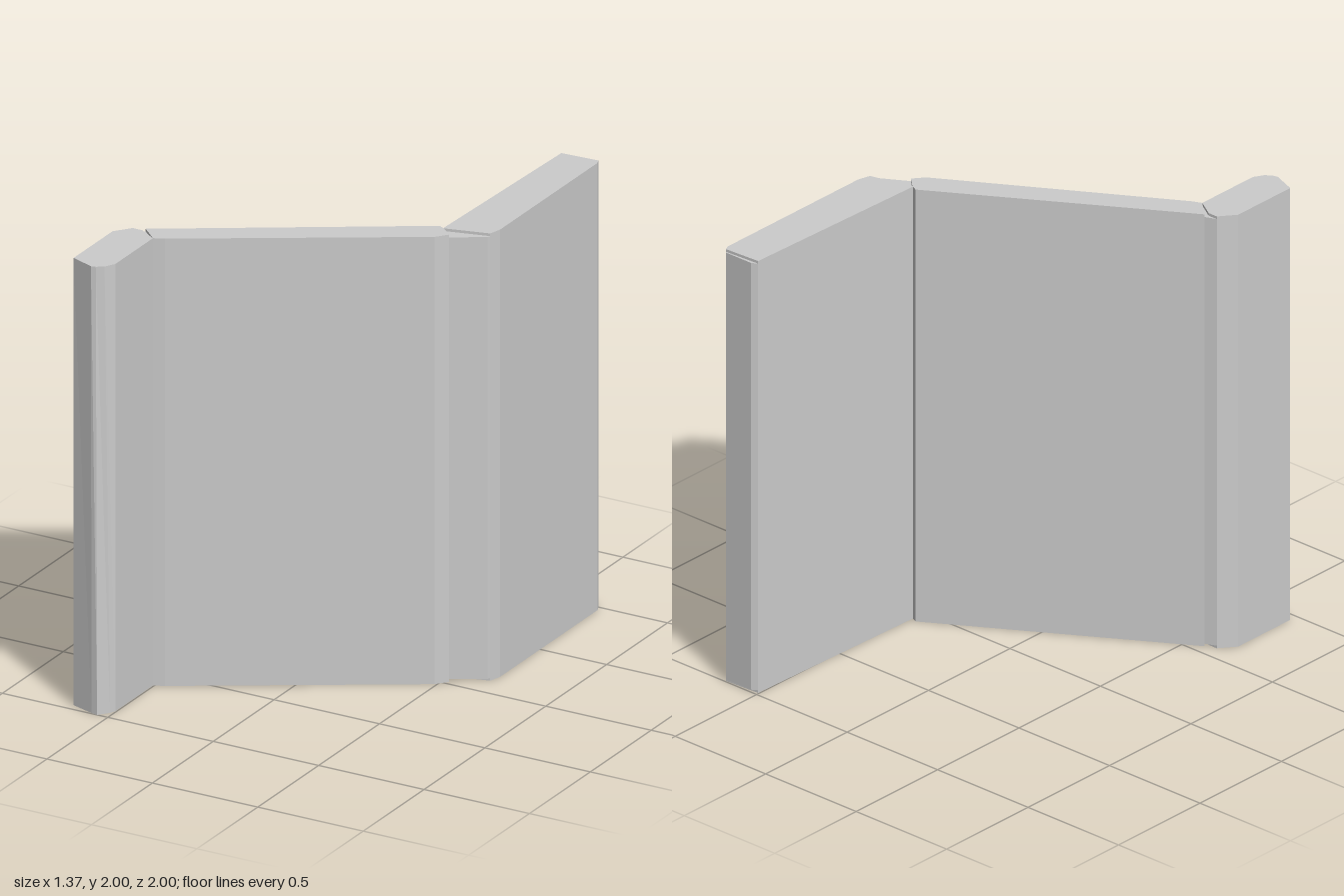
import * as THREE from 'three';

// Upright convex prism between a bottom and a top outline of [x, z] points,
// listed clockwise as seen from above with z pointing down the page.
function prism(name, bottom, top = bottom, y0 = 0, y1 = 2) {
  const n = bottom.length;
  const lo = bottom.map(([x, z]) => [x, y0, z]);
  const hi = top.map(([x, z]) => [x, y1, z]);
  const pos = [];
  const tri = (a, b, c) => pos.push(...a, ...b, ...c);
  for (let i = 0; i < n; i++) {
    const j = (i + 1) % n;
    tri(lo[i], hi[i], hi[j]);
    tri(lo[i], hi[j], lo[j]);
    if (i > 0 && i < n - 1) {
      tri(hi[0], hi[j], hi[i]);
      tri(lo[0], lo[i], lo[j]);
    }
  }
  const geo = new THREE.BufferGeometry();
  geo.setAttribute('position', new THREE.Float32BufferAttribute(pos, 3));
  geo.computeVertexNormals();
  const mat = new THREE.MeshStandardMaterial({ color: 0xcccccc, flatShading: true });
  const mesh = new THREE.Mesh(geo, mat);
  mesh.name = name;
  return mesh;
}

export function createModel() {
  const group = new THREE.Group();
  group.name = 'foldedWall';

  // Short front wall with chamfered corners, its ends shifting slightly with height
  group.add(prism('frontWall',
    [[-0.63, 0.57], [-0.585, 0.57], [-0.505, 0.62], [-0.505, 0.93], [-0.515, 0.955], [-0.55, 1], [-0.58, 0.995], [-0.685, 0.96], [-0.685, 0.64]],
    [[-0.63, 0.57], [-0.585, 0.57], [-0.505, 0.62], [-0.505, 0.93], [-0.53, 0.975], [-0.56, 0.995], [-0.58, 1], [-0.685, 0.96], [-0.685, 0.64]]));

  // Diagonal wall linking the two ends
  group.add(prism('diagonalWall',
    [[-0.58, 0.55], [0.45, -0.08], [0.48, -0.065], [0.53, -0.02], [0.49, 0.03], [-0.46, 0.6], [-0.505, 0.62]]));

  // Long rear wall
  group.add(prism('rearWall',
    [[0.505, -0.985], [0.675, -0.995], [0.685, -0.97], [0.685, -0.17], [0.67, -0.115], [0.475, -0.065]]));

  // Slightly recessed strips: corner joint, rear edge and front joint
  const inset = [0.012, 1.988];
  group.add(prism('cornerJoint', [[0.475, -0.065], [0.67, -0.115], [0.665, -0.1], [0.53, -0.02]], undefined, ...inset));
  group.add(prism('rearEdge', [[0.505, -0.985], [0.53, -1], [0.67, -1], [0.675, -0.995]], undefined, ...inset));
  group.add(prism('frontJoint', [[-0.63, 0.57], [-0.58, 0.55], [-0.505, 0.62]], undefined, ...inset));

  return group;
}
